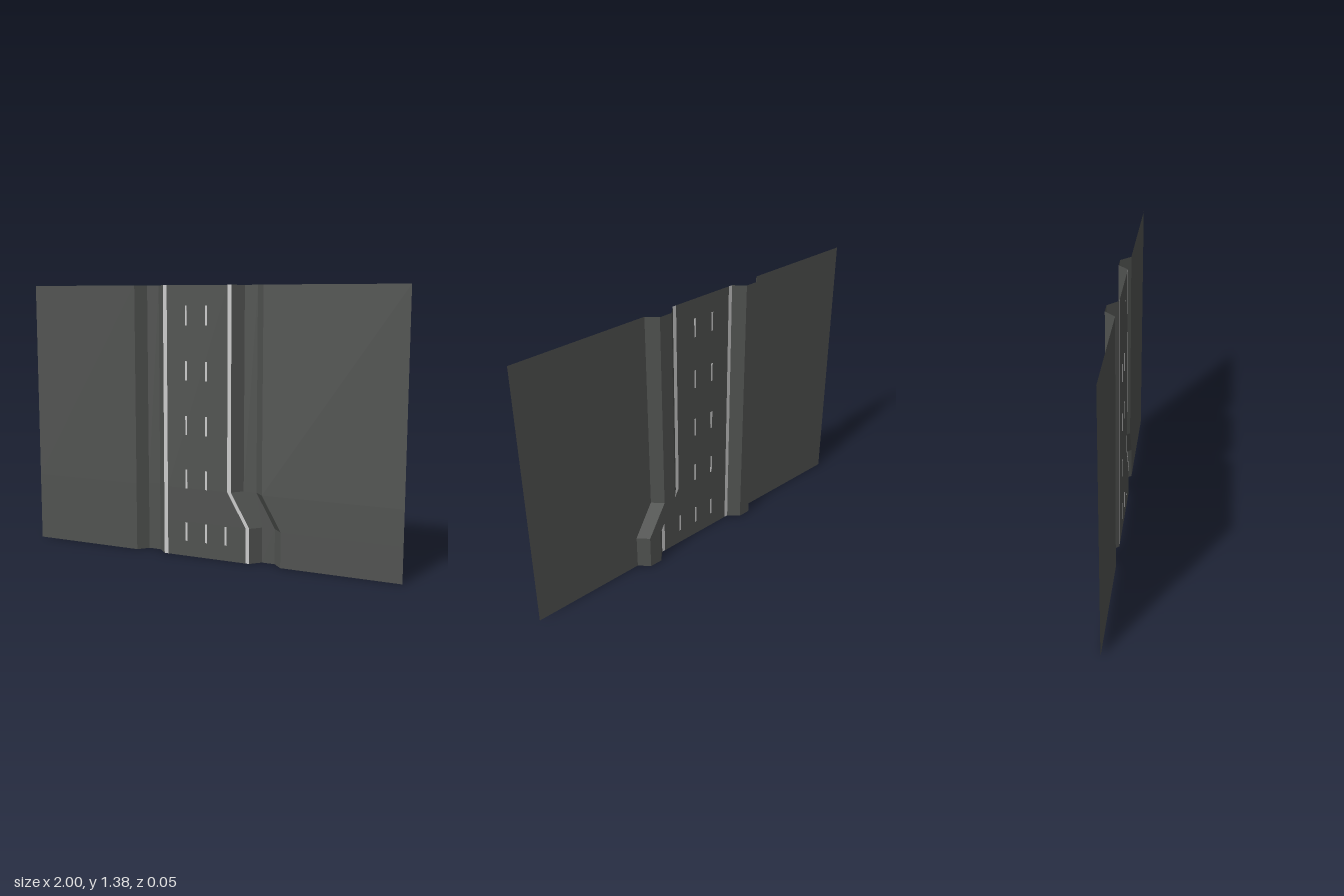
import * as THREE from 'three';

const HEIGHT = 1.377, FRONT = 0.025, BACK = -0.025;
const asphalt = new THREE.MeshStandardMaterial({ color: 0x505250, side: THREE.DoubleSide, flatShading: true });
const paint = new THREE.MeshStandardMaterial({ color: 0xcccccc, side: THREE.DoubleSide, flatShading: true });

// Rows from bottom to top, with the sideways shift of the right-hand side at each
const ROWS = [[0, 0.1], [0.18, 0.1], [0.355, 0], [HEIGHT, 0]];

// Edges running the full height: x, z and whether they follow the lane taper
const fixed = (x, z) => ({ x, z, taper: 0 });
const tapered = (x, z) => ({ x, z, taper: 1 });
const E = [
  fixed(-1, FRONT), fixed(-0.4, FRONT), fixed(-0.353, BACK), fixed(-0.287, BACK),
  fixed(-0.237, FRONT), fixed(-0.216, FRONT),
  tapered(0.115, FRONT), tapered(0.135, FRONT),
  tapered(0.184, BACK), tapered(0.252, BACK), tapered(0.3, FRONT), fixed(1, FRONT),
];

// Sheet of flat panels between consecutive edges
function sheet(name, edges, material) {
  const pos = [];
  const point = (e, [y, shift]) => [e.x + e.taper * shift, y, e.z];
  for (let i = 0; i < edges.length - 1; i++) {
    for (let r = 0; r < ROWS.length - 1; r++) {
      const a = point(edges[i], ROWS[r]), b = point(edges[i + 1], ROWS[r]);
      const c = point(edges[i + 1], ROWS[r + 1]), d = point(edges[i], ROWS[r + 1]);
      pos.push(...a, ...b, ...c, ...a, ...c, ...d);
    }
  }
  const geo = new THREE.BufferGeometry();
  geo.setAttribute('position', new THREE.Float32BufferAttribute(pos, 3));
  geo.computeVertexNormals();
  const mesh = new THREE.Mesh(geo, material);
  mesh.name = name;
  return mesh;
}

export function createModel() {
  const model = new THREE.Group();
  model.name = 'taperingRoad';

  // Ground, ditches, carriageway and painted edge lines
  model.add(
    sheet('leftmostGround', E.slice(0, 2), asphalt),
    sheet('straightDitch', E.slice(1, 5), asphalt),
    sheet('straightEdgeLine', E.slice(4, 6), paint),
    sheet('carriageway', E.slice(5, 7), asphalt),
    sheet('taperedEdgeLine', E.slice(6, 8), paint),
    sheet('taperedDitch', E.slice(7, 11), asphalt),
    sheet('rightmostGround', E.slice(10, 12), asphalt),
  );

  // Dashed lane markings, showing on both faces; the third lane ends at the taper
  const dashes = new THREE.Group();
  dashes.name = 'laneDashes';
  const dashGeo = new THREE.BoxGeometry(0.01, 0.097, 0.002);
  for (let row = 0; row < 5; row++) {
    for (const x of row === 0 ? [-0.11, 0, 0.108] : [-0.11, 0]) {
      const dash = new THREE.Mesh(dashGeo, paint);
      dash.name = 'laneDash';
      dash.position.set(x, 0.128 + row * 0.275, FRONT);
      dashes.add(dash);
    }
  }
  model.add(dashes);
  return model;
}
